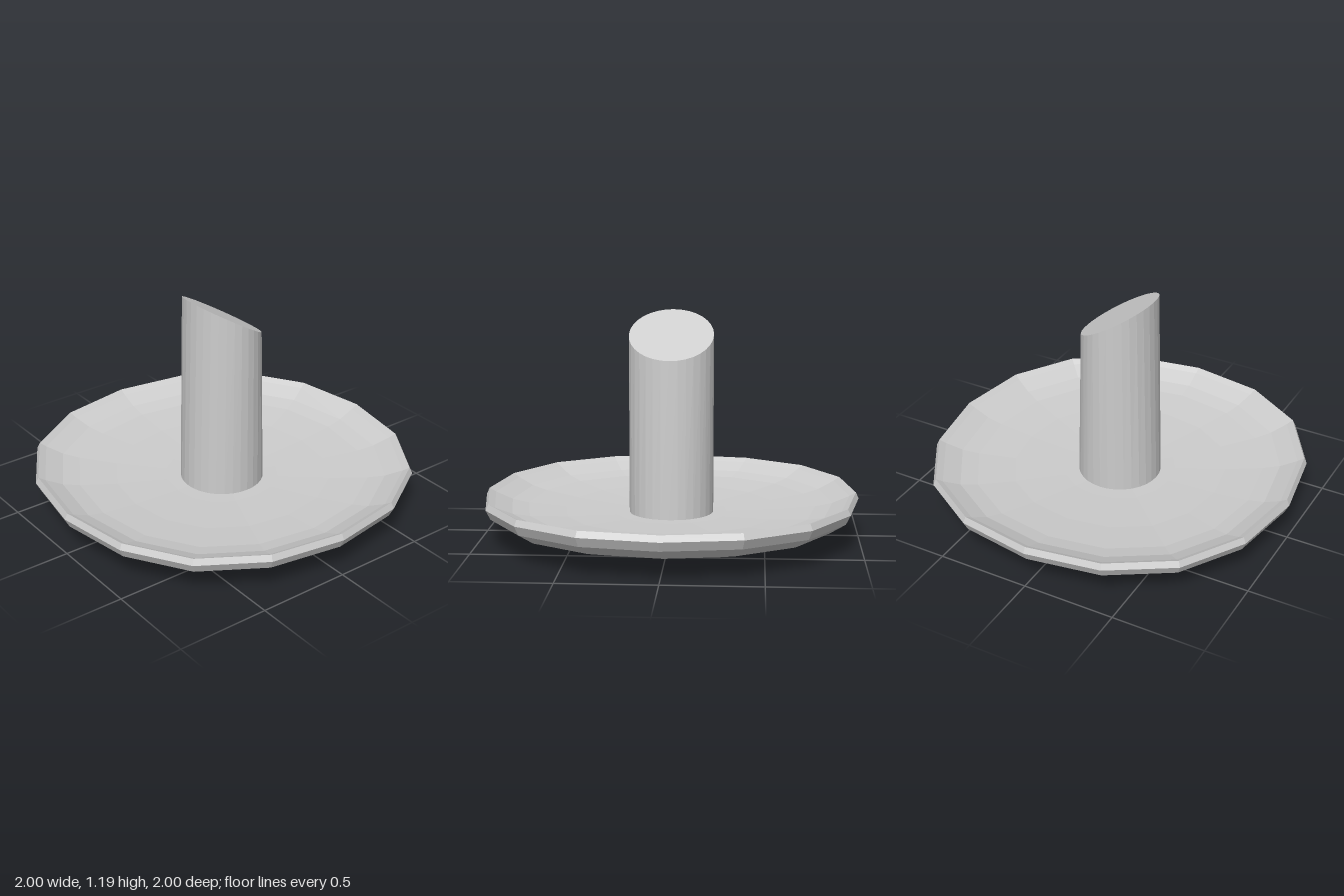
import * as THREE from 'three';

const material = new THREE.MeshStandardMaterial({ color: 0xcccccc, flatShading: true });

// Shallow shell: underside, bevelled rim, then the hollow inside
function createDish() {
  const profile = [
    [0, 0], [0.4, 0.013], [0.7, 0.046], [0.89, 0.1], [0.975, 0.155], [1, 0.205], [0.985, 0.237],
    [0.95, 0.217], [0.86, 0.178], [0.77, 0.159], [0.57, 0.139], [0.3, 0.126], [0, 0.12],
  ].map(([r, y]) => new THREE.Vector2(r, y));
  const geometry = new THREE.LatheGeometry(profile, 16);

  // Push the outline slightly towards a rounded square
  const pos = geometry.attributes.position;
  for (let i = 0; i < pos.count; i++) {
    const x = pos.getX(i), z = pos.getZ(i);
    const angle = Math.atan2(z, x);
    const r = Math.hypot(x, z) * (1 + 0.031 * Math.sin(2 * angle) ** 2);
    const a = angle + 0.014 * Math.sin(4 * angle);
    pos.setX(i, r * Math.cos(a));
    pos.setZ(i, r * Math.sin(a));
  }
  geometry.computeVertexNormals();
  const dish = new THREE.Mesh(geometry, material);
  dish.name = 'dish';
  return dish;
}

// Post narrowing front to back, with a slanted top that is highest at the front
function createPost() {
  const bottom = 0.09;
  const geometry = new THREE.CylinderGeometry(0.225, 0.225, 1, 32);
  const pos = geometry.attributes.position;
  for (let i = 0; i < pos.count; i++) {
    if (pos.getY(i) > 0) {
      const z = pos.getZ(i) * 0.87;
      pos.setZ(i, z);
      pos.setY(i, 1.075 + 0.595 * z);
    } else {
      pos.setY(i, bottom);
    }
  }
  geometry.computeVertexNormals();
  const post = new THREE.Mesh(geometry, material);
  post.name = 'post';
  return post;
}

export function createModel() {
  const model = new THREE.Group();
  model.name = 'dishWithPost';
  model.add(createDish(), createPost());
  return model;
}
